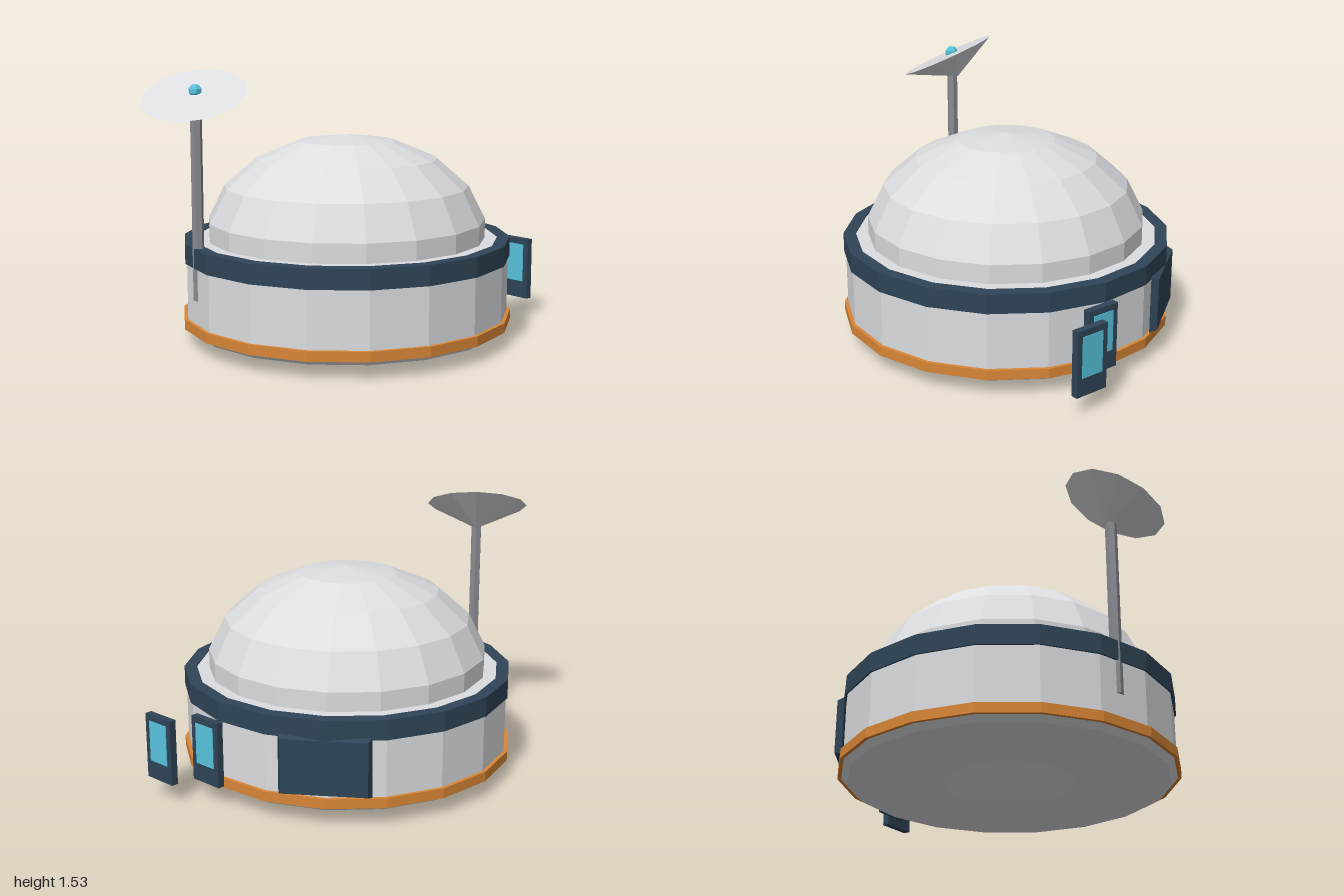
import * as THREE from 'three';

const SIDES = 18;
const CX = -0.0125; // hull axis

const paint = (name, color) => {
  const m = new THREE.MeshStandardMaterial({ color });
  m.name = name;
  return m;
};

// Unshared vertices give crisp low-poly facets
function facet(geometry) {
  const g = geometry.index ? geometry.toNonIndexed() : geometry;
  g.computeVertexNormals();
  return g;
}

function part(parent, name, geometry, material, x = 0, y = 0, z = 0) {
  const mesh = new THREE.Mesh(facet(geometry), material);
  mesh.name = name;
  mesh.position.set(x, y, z);
  parent.add(mesh);
  return mesh;
}

const lathe = (points) =>
  new THREE.LatheGeometry(points.map(([r, y]) => new THREE.Vector2(r, y)), SIDES);

// Square-section ring around the hull
const band = (inner, outer, y0, y1) =>
  lathe([[inner, y0], [outer, y0], [outer, y1], [inner, y1], [inner, y0]]);

export function createModel() {
  const model = new THREE.Group();
  model.name = 'domeStation';

  const white = paint('hullWhite', 0xdcdde0);
  const navy = paint('trimNavy', 0x2f4557);
  const orange = paint('trimOrange', 0xd98636);
  const cyan = paint('glassCyan', 0x58c4de);
  const grey = paint('metalGrey', 0x8a8c92);

  // Chamfered drum and squashed dome that also bulges out below
  part(model, 'drum', lathe([[0, 0.07], [0.885, 0.07], [0.92, 0.1], [0.92, 0.55],
    [0.87, 0.575], [0, 0.575]]), white, CX);
  const domeShape = new THREE.SphereGeometry(0.8, SIDES, 9)
    .rotateY(Math.PI / 2).scale(1, 0.725, 1);
  part(model, 'dome', domeShape, white, CX, 0.58);

  // Trim rings
  part(model, 'upperRing', band(0.86, 0.93, 0.47, 0.58), navy, CX);
  part(model, 'lowerRing', band(0.86, 0.94, 0.1, 0.155), orange, CX);

  // Rear door with chamfered outer face
  const door = new THREE.BoxGeometry(0.49, 0.33, 0.04);
  const p = door.attributes.position;
  for (let i = 0; i < p.count; i++) {
    if (p.getZ(i) < 0) p.setXY(i, p.getX(i) * 0.93, p.getY(i) * 0.91);
  }
  part(model, 'rearDoor', door, navy, CX, 0.32, -0.91);

  // Two framed window panels, glazed on both faces
  for (const [name, x] of [['innerWindow', 0.647], ['outerWindow', 0.9]]) {
    const panel = new THREE.Group();
    panel.name = name;
    panel.position.set(x, 0.292, -0.702);
    panel.rotation.y = THREE.MathUtils.degToRad(145);
    part(panel, 'windowFrame', new THREE.BoxGeometry(0.2, 0.365, 0.04), navy);
    for (const s of [-1, 1]) {
      part(panel, 'windowGlass', new THREE.BoxGeometry(0.135, 0.228, 0.006), cyan,
        0, 0.034, s * 0.021);
    }
    model.add(panel);
  }

  // Antenna: mast, tilted solid dish and receiver bead
  part(model, 'antennaMast', new THREE.CylinderGeometry(0.032, 0.032, 1.0, 6), grey,
    -0.71, 0.79, 0.55);
  const dishShape = new THREE.ConeGeometry(0.29, 0.145, 12)
    .rotateX(Math.PI).translate(0, -0.0725, 0);
  const dish = part(model, 'antennaDish', dishShape, white, -0.71, 1.412, 0.575);
  dish.rotation.x = THREE.MathUtils.degToRad(25);
  part(model, 'antennaReceiver', new THREE.SphereGeometry(0.038, 6, 5), cyan,
    -0.71, 1.43, 0.553);

  return model;
}
